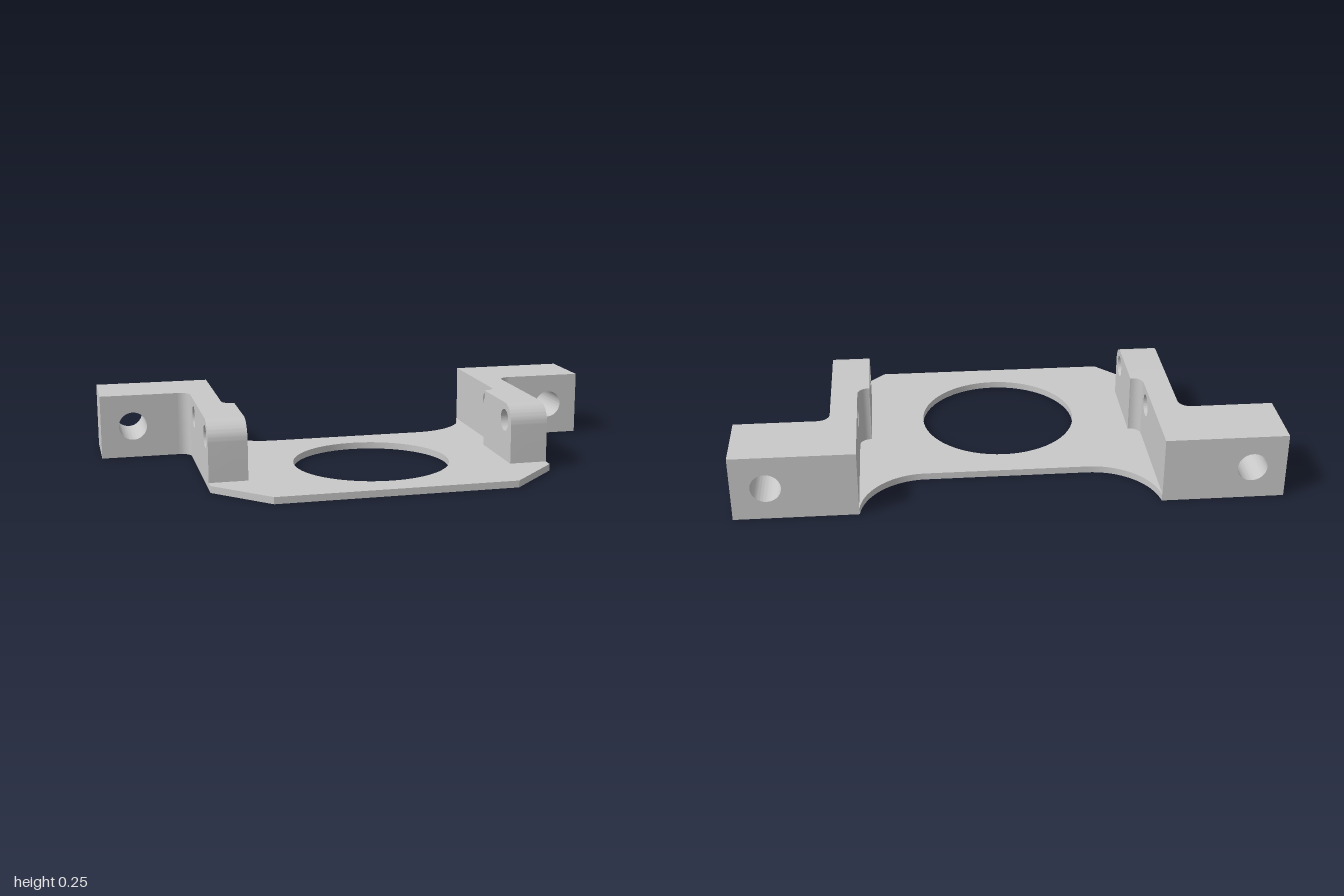
import * as THREE from 'three';
import { toCreasedNormals } from 'three/addons/utils/BufferGeometryUtils.js';

const H = 0.25;       // height of arms and ears
const PLATE = 0.026;  // plate thickness
const BACK = -0.523, FRONT = 0.523;
const EAR_Z = -0.273; // front face of the ears
const ARM_Z = 0.285;  // front face of the arms
const STEP_Z = -0.03; // where the arm becomes thicker
const IN = 0.505, MID = 0.55, OUT = 0.65;

// points on a circular arc, angles in degrees
function arc(cx, cy, r, from, to, n = 16) {
  return Array.from({ length: n + 1 }, (_, i) => {
    const a = THREE.MathUtils.degToRad(from + (to - from) * i / n);
    return [cx + r * Math.cos(a), cy + r * Math.sin(a)];
  });
}

// extrudes a closed outline with round holes [x, y, r]
function extrude(points, depth, holes = []) {
  const outline = points.map(([x, y]) => new THREE.Vector2(x, y));
  // a counter-clockwise outline keeps the hole walls facing the right way
  if (THREE.ShapeUtils.isClockWise(outline)) outline.reverse();
  const shape = new THREE.Shape(outline);
  for (const [x, y, r] of holes) {
    shape.holes.push(new THREE.Path().absarc(x, y, r, 0, Math.PI * 2, true));
  }
  return new THREE.ExtrudeGeometry(shape, { depth, bevelEnabled: false, curveSegments: 32 });
}

export function createModel() {
  const group = new THREE.Group();
  const metal = new THREE.MeshStandardMaterial({ color: 0xc8c8c8 });
  metal.name = 'grey metal';

  const add = (name, geometry) => {
    const mesh = new THREE.Mesh(toCreasedNormals(geometry, 0.5), metal);
    mesh.name = name;
    group.add(mesh);
  };
  // outline given in (x, z), raised along y
  const upright = (pts, height, holes = []) =>
    extrude(pts.map(([x, z]) => [x, -z]), height, holes.map(([x, z, r]) => [x, -z, r]))
      .rotateX(-Math.PI / 2);
  // outline given in (z, y), extruded from x0 to x1
  const sideways = (pts, x0, x1, holes) =>
    extrude(pts.map(([z, y]) => [-z, y]), x1 - x0, holes.map(([z, y, r]) => [-z, y, r]))
      .rotateY(Math.PI / 2).translate(x0, 0, 0);

  // base plate: half outline from the back scoop to the chamfered front
  const stepCurve = arc(0.51, -0.07, 0.04, 0, 90, 8);
  const half = [
    ...arc(0.305, -0.55, 0.245, 90, 6.3, 20),
    [MID, BACK], ...stepCurve,
    [IN, STEP_Z], [IN, ARM_Z], [OUT, ARM_Z], [OUT, 0.325], [0.453, FRONT],
  ];
  const mirrored = half.map(([x, z]) => [-x, z]).reverse();
  add('basePlate', upright([...half, ...mirrored], PLATE, [[0, 0.112, 0.3]]));

  for (const s of [1, -1]) {
    const side = s > 0 ? 'left' : 'right';
    const span = (a, b) => (s > 0 ? [a, b] : [-b, -a]);
    const flip = (pts) => pts.map(([x, z]) => [s * x, z]);

    // thick front of the arm, rounded at the top front
    const frontOutline = [[STEP_Z, 0], [ARM_Z, 0], ...arc(ARM_Z - 0.075, H - 0.075, 0.075, 0, 90), [STEP_Z, H]];
    add(side + 'ArmFront', sideways(frontOutline, ...span(IN, OUT), [[0.21, 0.182, 0.042]]));

    // thin rear of the arm
    const rearOutline = [[EAR_Z, 0], [STEP_Z, 0], [STEP_Z, H], [EAR_Z, H]];
    add(side + 'ArmRear', sideways(rearOutline, ...span(MID, OUT), [[-0.13, 0.182, 0.042]]));

    // mounting ear with a hole from front to back
    const [x0, x1] = span(MID, 1);
    const earOutline = [[x0, 0], [x1, 0], [x1, H], [x0, H]];
    add(side + 'Ear', extrude(earOutline, EAR_Z - BACK, [[s * 0.875, 0.125, 0.055]]).translate(0, 0, BACK));

    // fillets in the two inside corners
    const r = 0.045;
    add(side + 'OuterFillet', upright(flip([[OUT, EAR_Z], ...arc(OUT + r, EAR_Z + r, r, 180, 270, 8)]), H));
    add(side + 'InnerFillet', upright(flip([[MID, STEP_Z], ...stepCurve]), H));
  }
  return group;
}
